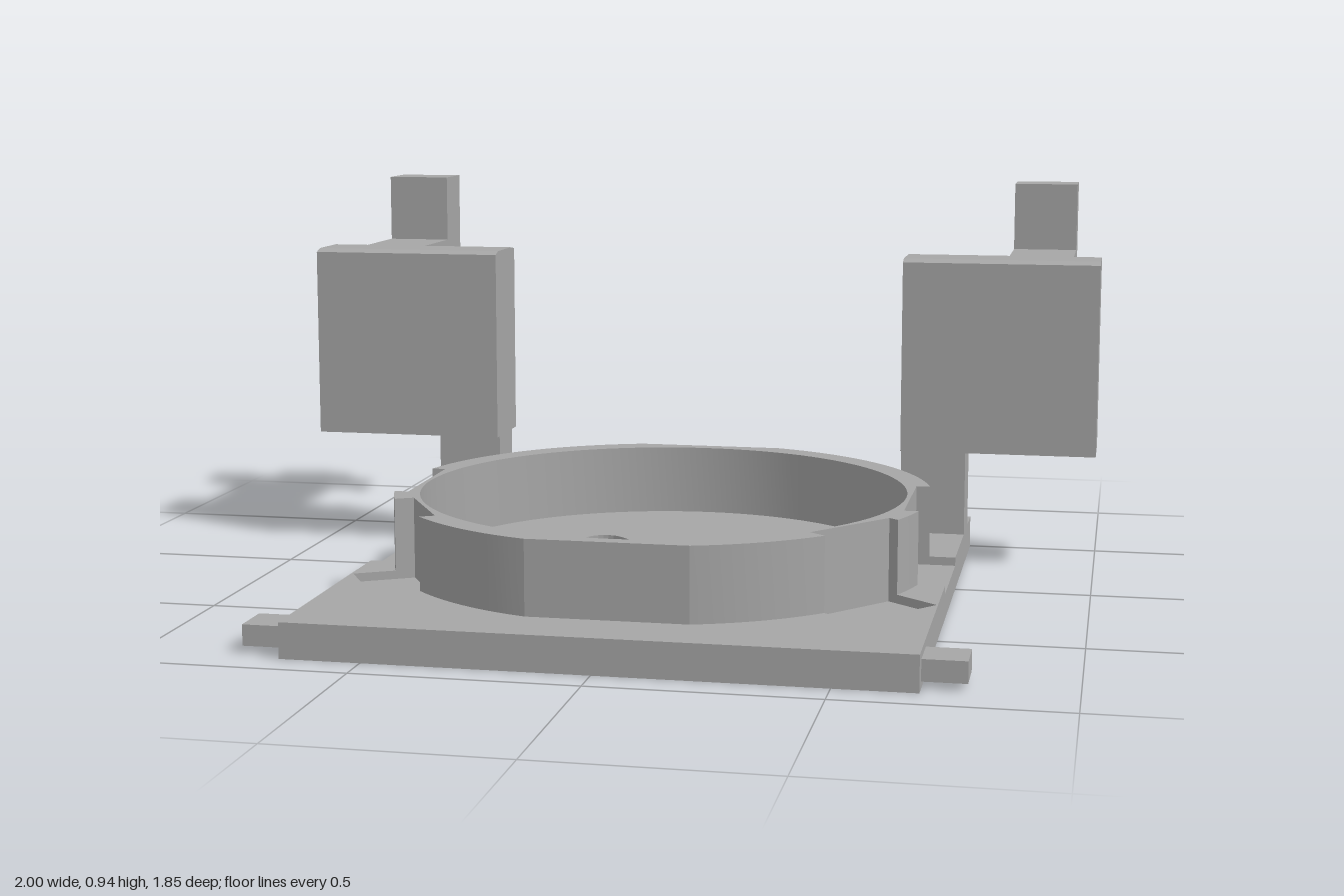
import * as THREE from 'three';
import { toCreasedNormals } from 'three/addons/utils/BufferGeometryUtils.js';

const CZ = 0.16; // z of the ring's centre
const RING_R = 0.636, RING_INNER = 0.575, FLAT = 0.585;
const RECESS_R = 0.205, SLOT_R = 0.05, SLOT_IN = 0.217, SLOT_OUT = 0.269;
const rad = THREE.MathUtils.degToRad;

// Point n outward and t sideways from the ring centre, turned by angle a
const polar = (a, n, t) => new THREE.Vector2(
  n * Math.cos(a) - t * Math.sin(a),
  CZ + n * Math.sin(a) + t * Math.cos(a));

// Closed outline: a circle of radius r interrupted by point groups in angular order
function brokenCircle(r, groups) {
  const angleOf = p => Math.atan2(p.y - CZ, p.x);
  const pts = [];
  groups.forEach((group, i) => {
    pts.push(...group);
    const a0 = angleOf(group[group.length - 1]);
    let a1 = angleOf(groups[(i + 1) % groups.length][0]);
    if (a1 < a0) a1 += Math.PI * 2;
    const steps = Math.max(2, Math.ceil((a1 - a0) / 0.06));
    for (let k = 1; k < steps; k++) pts.push(polar(a0 + (a1 - a0) * k / steps, r, 0));
  });
  return pts;
}

// Half circle ending a slot, on its outer (dir 1) or inner (dir -1) side
function slotEnd(a, n, dir) {
  const pts = [];
  for (let k = 0; k <= 12; k++) {
    const b = Math.PI * (k / 12 - 0.5);
    pts.push(polar(a, n + dir * SLOT_R * Math.cos(b), dir * SLOT_R * Math.sin(b)));
  }
  return pts;
}

const circle = r => new THREE.Path().absarc(0, CZ, r, 0, Math.PI * 2, false);
const path = pts => new THREE.Path(pts);

// Extrude a plan outline (x, z) between two heights
function slab(outline, holes, y0, y1) {
  const shape = new THREE.Shape(outline);
  shape.holes.push(...holes);
  const g = new THREE.ExtrudeGeometry(shape, { depth: y1 - y0, bevelEnabled: false, curveSegments: 48 });
  g.rotateX(Math.PI / 2).translate(0, y1, 0);
  return toCreasedNormals(g, 0.25);
}

// Extrude a side profile of [z, y] points between two x positions
function sideProfile(points, x0, x1) {
  const shape = new THREE.Shape(points.map(([z, y]) => new THREE.Vector2(-z, y)));
  const g = new THREE.ExtrudeGeometry(shape, { depth: x1 - x0, bevelEnabled: false });
  return g.rotateY(Math.PI / 2).translate(x0, 0, 0);
}

function box(x0, x1, y0, y1, z0, z1) {
  return new THREE.BoxGeometry(x1 - x0, y1 - y0, z1 - z0)
    .translate((x0 + x1) / 2, (y0 + y1) / 2, (z0 + z1) / 2);
}

export function createModel() {
  const model = new THREE.Group();
  const grey = new THREE.MeshStandardMaterial({ color: 0xa6a6a6 });
  grey.name = 'grey plastic';
  const add = (name, geometry) => {
    const mesh = new THREE.Mesh(geometry, grey);
    mesh.name = name;
    model.add(mesh);
  };

  const slotAngles = [45, 135, 225, 315].map(rad);
  const window4 = [[-0.225, 0.405], [0.225, 0.405], [0.225, 0.67], [-0.225, 0.67]]
    .map(p => new THREE.Vector2(...p));

  // Lower plate layer with through holes
  const plate = [[-0.68, -0.49], [0.68, -0.49], [0.68, 0.92], [-0.68, 0.92]]
    .map(p => new THREE.Vector2(...p));
  const slots = slotAngles.map(a => path([...slotEnd(a, SLOT_OUT, 1), ...slotEnd(a, SLOT_IN, -1)]));
  add('basePlate', slab(plate, [circle(0.08), path(window4), ...slots], 0, 0.06));

  // Pockets cut beside the ring: angle, sideways range, outer reach
  const pockets = [
    { a: rad(39.4), t0: -0.172, t1: 0.068, out: 0.735 },
    { a: rad(150), t0: -0.136, t1: 0.084, out: 0.73 },
  ];

  // Upper plate layer: side notches, corner pockets and the round recess
  const notched = [
    [-0.68, -0.49], [0.68, -0.49], [0.68, 0.01], [FLAT, 0.01], [FLAT, 0.31], [0.68, 0.31],
    [0.68, 0.92], [-0.68, 0.92], [-0.68, 0.31], [-FLAT, 0.31], [-FLAT, 0.01], [-0.68, 0.01],
  ].map(p => new THREE.Vector2(...p));
  const pocketHoles = pockets.map(({ a, t0, t1, out }) =>
    path([polar(a, FLAT, t0), polar(a, out, t0), polar(a, out, t1), polar(a, FLAT, t1)]));
  const neck = Math.sqrt(RECESS_R ** 2 - SLOT_R ** 2);
  const recess = brokenCircle(RECESS_R, slotAngles.map(a =>
    [polar(a, neck, -SLOT_R), ...slotEnd(a, SLOT_OUT, 1), polar(a, neck, SLOT_R)]));
  add('plateTop', slab(notched, [path(window4), path(recess), ...pocketHoles], 0.06, 0.08));

  // Raised ring, flattened front and back and cut back beside each pocket
  const side = a => ({ a, t0: -0.15, t1: 0.15 });
  const end = a => ({ a, t0: -0.18, t1: 0.18, d: 0.61 });
  const cuts = [side(0), pockets[0], end(rad(90)), pockets[1], side(Math.PI), end(rad(270))];
  const ring = brokenCircle(RING_R, cuts.map(({ a, t0, t1, d }) => d
    ? [polar(a, d, t0), polar(a, d, t1)]
    : [
      polar(a, Math.sqrt(RING_R ** 2 - t0 ** 2), t0), polar(a, FLAT, t0),
      polar(a, FLAT, t1), polar(a, Math.sqrt(RING_R ** 2 - t1 ** 2), t1),
    ]));
  add('ring', slab(ring, [circle(RING_INNER)], 0.08, 0.25));

  // Mirrored parts: the block's slightly bevelled top and the stepped rear arm
  const block = [[-0.24, 0.29], [-0.24, 0.762], [-0.265, 0.77], [-0.385, 0.77], [-0.42, 0.765], [-0.42, 0.29]];
  const arm = [
    [-0.42, 0.595], [-0.42, 0.765], [-0.645, 0.765], [-0.645, 0.935], [-0.765, 0.935], [-0.765, 0.695],
    [-0.925, 0.695], [-0.925, 0.595], [-0.89, 0.595], [-0.89, 0.47], [-0.77, 0.47], [-0.77, 0.595],
  ];
  for (const [s, name] of [[1, 'left'], [-1, 'right']]) {
    const span = (x0, x1) => s > 0 ? [x0, x1] : [-x1, -x0];
    add(name + 'Post', box(...span(0.52, 0.68), 0.08, 0.29, -0.38, -0.26));
    add(name + 'Block', sideProfile(block, ...span(0.52, 1)));
    add(name + 'Arm', sideProfile(arm, ...span(0.77, 0.93)));
    add(name + 'Peg', box(...span(0.68, 0.775), 0.015, 0.062, 0.785, 0.885));
  }
  return model;
}
